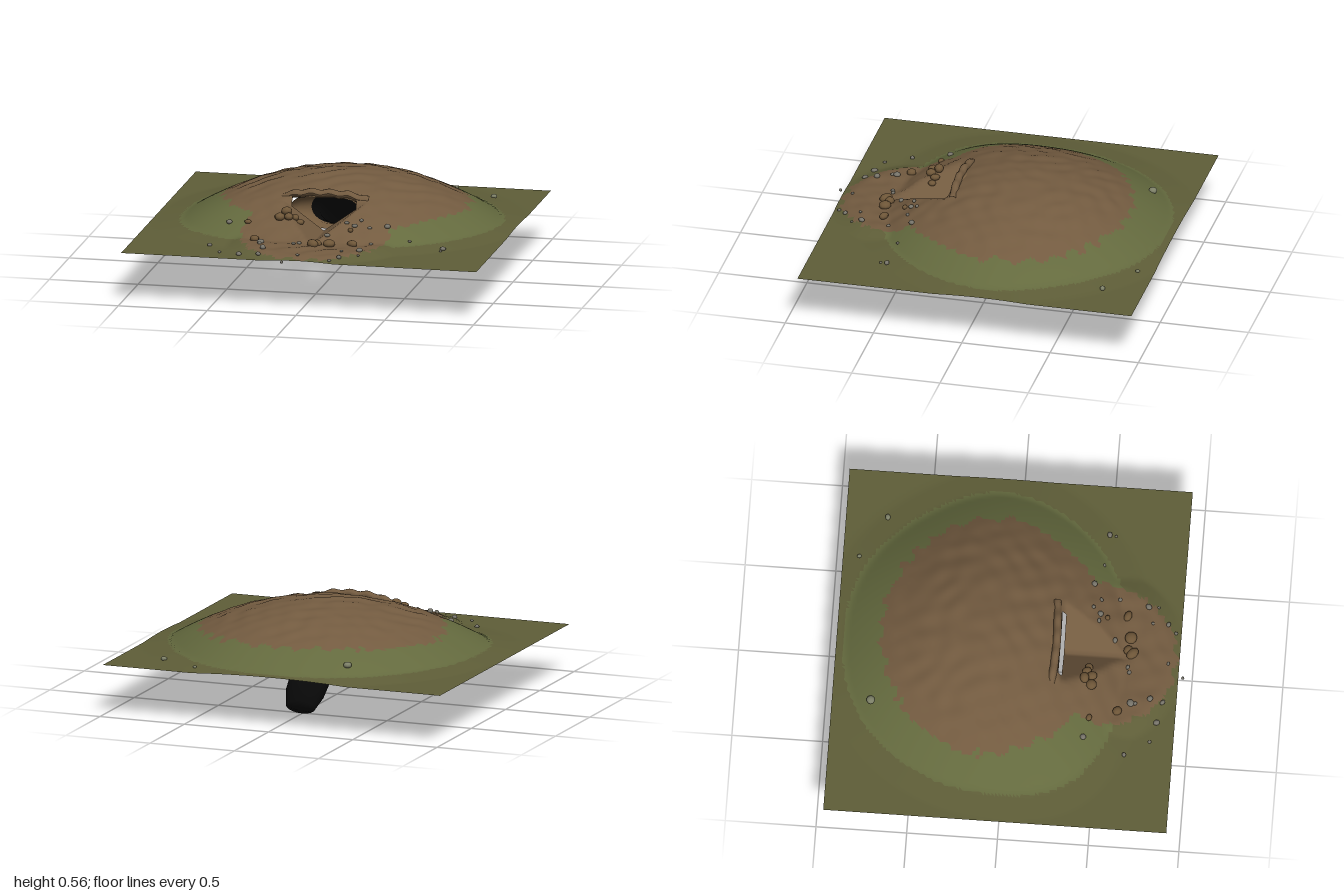
import * as THREE from 'three';

const mat = (name, color, side = THREE.FrontSide) => {
  const m = new THREE.MeshStandardMaterial({ color, side });
  m.name = name;
  return m;
};
const clamp = THREE.MathUtils.clamp;

// Mound outline: radius every 30 degrees, turning from +x towards +z
const RADII = [0.87, 0.82, 0.77, 0.75, 0.8, 0.9, 0.86, 0.84, 0.83, 0.81, 0.82, 0.83];
const CX = 0.03, CZ = -0.1;
function outline(angle) {
  const f = ((angle / (Math.PI * 2) + 1) % 1) * 12;
  const i = Math.floor(f) % 12, u = f - Math.floor(f);
  const [a, b, c, d] = [11, 0, 1, 2].map((k) => RADII[(i + k) % 12]);
  return b + 0.5 * u * (c - a + u * (2 * a - 5 * b + 4 * c - d + u * (3 * (b - c) + d - a)));
}
const ripple = (x, z) =>
  Math.sin(x * 17 + 3 * Math.sin(z * 9)) * Math.sin(z * 21 + 2 * Math.sin(x * 13)) +
  0.6 * Math.sin(x * 39 + z * 16) * Math.sin(z * 33 - x * 11);
const mouthZ = 0.285;

// How far out a point lies on the mound: 0 at the crown, 1 at its foot
const spread = (x, z) => Math.hypot(x - CX, z - CZ) / outline(Math.atan2(z - CZ, x - CX));

// Signed measure of the bare earth patch, positive inside
function earth(x, z) {
  const top = 1 - Math.hypot((x - 0.04) / 0.69, (z + 0.1) / 0.61);
  const apron = 1 - Math.hypot(x / 0.41, (z - 0.52) / 0.39);
  return Math.max(top, apron) + 0.025 * Math.sin(x * 47 + z * 29) + 0.02 * Math.sin(z * 71 - x * 53);
}

function height(x, z) {
  const t = spread(x, z);
  let y = 0.282 + 0.022 * clamp((1.18 - t) / 0.18, 0, 1);
  if (t < 1) y += 0.252 * (1 - t * t);
  // low spoil heap in front
  const d = Math.hypot(x / 0.5, (z - 0.5) / 0.45);
  if (z > 0.4) y = Math.max(y, 0.282 + 0.035 * clamp((1.03 - d) * 5, 0, 1) * clamp((1.25 - z) / 0.5, 0, 1));
  y += 0.005 * ripple(x, z) * clamp(earth(x, z) * 5, 0, 1);
  // V-shaped trench leading to the entrance
  if (z > mouthZ && z < 0.66) y = Math.min(y, 0.308 + 0.72 * Math.abs(x));
  return y;
}

// Ground sheet as a height field, with a slit left open at the entrance
function groundGeometry() {
  const nx = 100, nz = 95, pos = [], lists = [[], [], []];
  const px = (i) => -1 + i * 0.02, pz = (j) => -0.96 + j * 0.0199;
  for (let j = 0; j <= nz; j++)
    for (let i = 0; i <= nx; i++) pos.push(px(i), height(px(i), pz(j)), pz(j));
  const add = (cell, x, z) => {
    const k = earth(x, z) > 0 ? 2 : spread(x, z) < 1.02 ? 1 : 0;
    lists[k].push(...cell);
  };
  for (let j = 0; j < nz; j++)
    for (let i = 0; i < nx; i++) {
      const x = px(i) + 0.01, z = pz(j) + 0.01;
      if (Math.abs(z - mouthZ) < 0.01 && Math.abs(x) < 0.18) continue;
      const a = j * (nx + 1) + i, b = a + nx + 1;
      add([a, b, a + 1], x - 0.003, z - 0.003);
      add([b, b + 1, a + 1], x + 0.003, z + 0.003);
    }
  const g = new THREE.BufferGeometry();
  g.setAttribute('position', new THREE.Float32BufferAttribute(pos, 3));
  g.setIndex(lists.flat());
  let start = 0;
  lists.forEach((l, k) => { g.addGroup(start, l.length, k); start += l.length; });
  g.computeVertexNormals();
  return g;
}

// Loft of tilted ellipses: [z, y, half width, half height, tilt]
function loft(rings, sides = 28) {
  const pos = [], idx = [];
  for (const [z, y, rx, ry, tilt] of rings)
    for (let s = 0; s < sides; s++) {
      const a = (s / sides) * Math.PI * 2, v = ry * Math.sin(a);
      pos.push(rx * Math.cos(a), y + v * Math.cos(tilt), z - v * Math.sin(tilt));
    }
  for (let r = 0; r < rings.length - 1; r++)
    for (let s = 0; s < sides; s++) {
      const a = r * sides + s, b = r * sides + ((s + 1) % sides);
      idx.push(a, b, a + sides, b, b + sides, a + sides);
    }
  const g = new THREE.BufferGeometry();
  g.setAttribute('position', new THREE.Float32BufferAttribute(pos, 3));
  g.setIndex(idx);
  g.computeVertexNormals();
  return g;
}

export function createModel() {
  const model = new THREE.Group();
  const D = THREE.DoubleSide;
  const flatGrass = mat('flat grass', 0x5f5e38, D);
  const moundGrass = mat('mound grass', 0x646a3e, D);
  const soil = mat('soil', 0x735b40, D);
  const tunnelSoil = mat('tunnel soil', 0x7a6042, D);
  const dark = mat('tunnel dark', 0x080808, D);
  const clod = mat('clod', 0x6e5638);
  const stone = mat('stone', 0x77746a);
  const paleStone = mat('pale stone', 0x7d8068);
  const add = (name, geo, material) => {
    const m = new THREE.Mesh(geo, material);
    m.name = name;
    model.add(m);
    return m;
  };

  add('ground', groundGeometry(), [flatGrass, moundGrass, soil]);

  // Tunnel: earth-walled mouth, then a dark bore bending down and back
  add('tunnelMouth', loft([
    [0.272, 0.415, 0.2, 0.1, 0], [0.18, 0.405, 0.165, 0.095, 0.1],
    [0.09, 0.39, 0.14, 0.09, 0.2], [0.02, 0.375, 0.13, 0.09, 0.3]]), tunnelSoil);
  add('tunnelBore', loft([
    [0.02, 0.375, 0.13, 0.09, 0.3], [-0.06, 0.355, 0.125, 0.09, 0.4], [-0.15, 0.325, 0.122, 0.09, 0.5],
    [-0.25, 0.27, 0.12, 0.09, 0.58], [-0.36, 0.2, 0.118, 0.088, 0.62],
    [-0.465, 0.108, 0.112, 0.075, 0.62], [-0.532, 0.04, 0.085, 0.046, 0.5], [-0.533, 0.041, 0, 0, 0.5]]), dark);

  // Overhanging lip above the entrance
  const lipPath = new THREE.CatmullRomCurve3([
    [-0.24, 0.475, 0.24], [-0.13, 0.503, 0.25], [0, 0.51, 0.255], [0.13, 0.503, 0.25], [0.24, 0.475, 0.24],
  ].map((p) => new THREE.Vector3(...p)));
  const lip = new THREE.TubeGeometry(lipPath, 30, 0.022, 10);
  const lp = lip.attributes.position;
  for (let i = 0; i < lp.count; i++) {
    const x = lp.getX(i);
    lp.setY(i, lp.getY(i) + 0.005 * Math.sin(x * 60));
  }
  lip.computeVertexNormals();
  add('entranceLip', lip, soil);

  // Loose lumps and pebbles: [x, z, radius]
  const pebble = new THREE.SphereGeometry(1, 10, 7);
  const scatter = (name, material, list) => list.forEach(([x, z, r], i) => {
    const m = add(name, pebble, material);
    m.scale.set(r * (1 + 0.2 * Math.sin(i * 5)), r * 0.75, r * (1 - 0.2 * Math.sin(i * 3)));
    m.rotation.y = i * 1.7;
    m.position.set(x, height(x, z) + r * 0.3, z);
  });
  scatter('earthClod', clod, [
    [-0.21, 0.46, 0.03], [-0.18, 0.42, 0.032], [-0.16, 0.46, 0.028], [-0.13, 0.43, 0.024], [-0.1, 0.44, 0.02],
    [-0.32, 0.61, 0.028], [0.02, 0.67, 0.034], [0.04, 0.645, 0.03], [0.11, 0.655, 0.03],
    [0.235, 0.63, 0.027], [-0.39, 0.46, 0.017], [0.2, 0.52, 0.018]]);
  scatter('pebble', stone, [
    [-0.5, 0.435, 0.017], [-0.56, 0.665, 0.014], [-0.475, 0.8, 0.01], [-0.36, 0.83, 0.017],
    [-0.27, 0.68, 0.018], [-0.27, 0.705, 0.012], [-0.245, 0.855, 0.015], [-0.235, 0.785, 0.019],
    [-0.09, 0.66, 0.01], [-0.06, 0.65, 0.012], [-0.02, 0.87, 0.009], [-0.09, 0.955, 0.011],
    [0.08, 0.57, 0.014], [0.17, 0.475, 0.012], [0.215, 0.48, 0.014], [0.245, 0.44, 0.012],
    [0.3, 0.48, 0.011], [0.39, 0.435, 0.018], [0.33, 0.58, 0.01], [0.3, 0.74, 0.017],
    [0.305, 0.795, 0.008], [0.21, 0.855, 0.015], [0.165, 0.9, 0.01], [0.205, 0.77, 0.008],
    [0.525, 0.48, 0.009], [0.715, 0.495, 0.016], [0.71, 0.53, 0.009]]);
  scatter('paleStone', paleStone, [[-0.365, -0.745, 0.024], [0.73, -0.73, 0.018], [0.49, -0.87, 0.012]]);
  return model;
}
